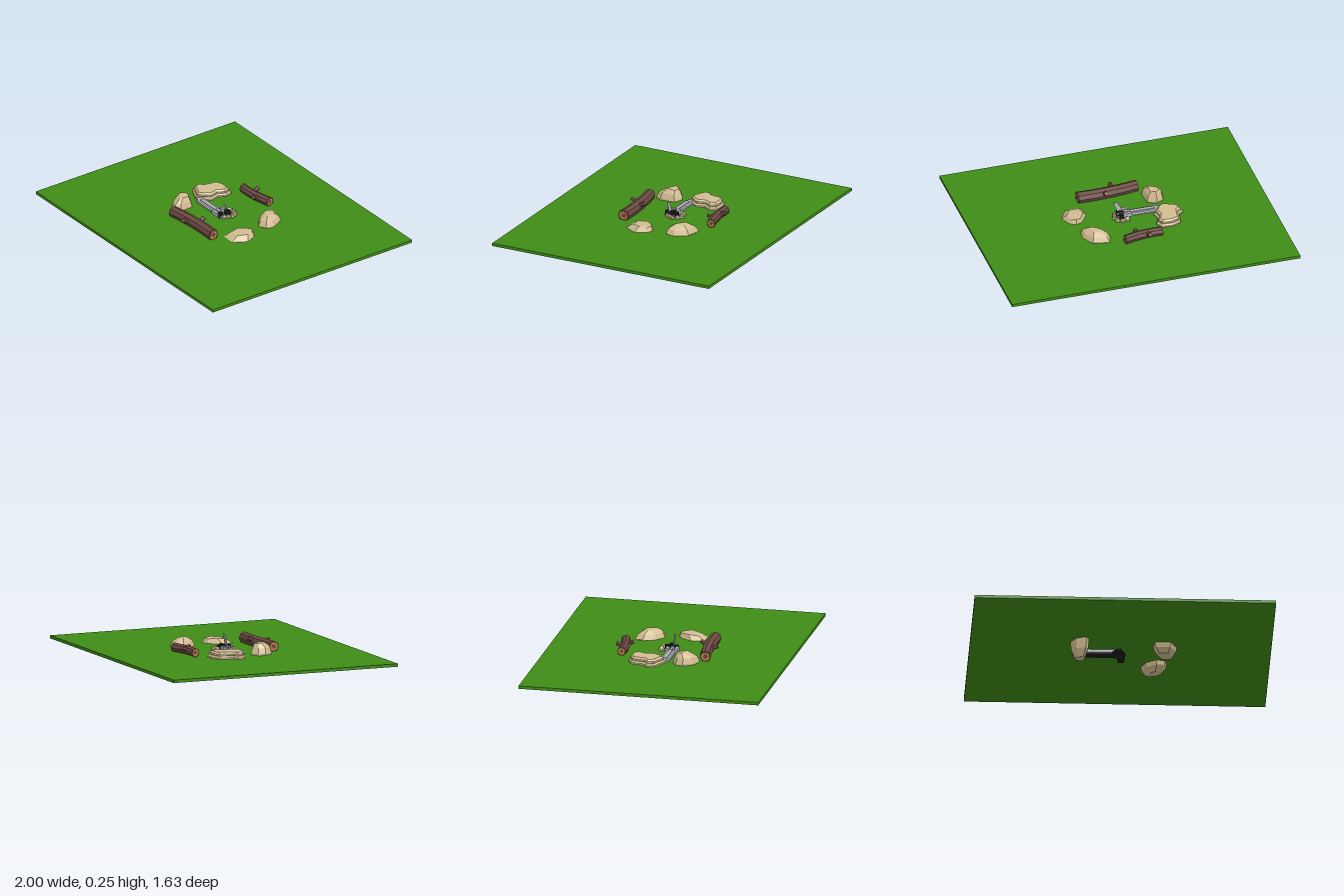
import * as THREE from 'three';
import { ConvexGeometry } from 'three/addons/geometries/ConvexGeometry.js';

const mat = (color) => new THREE.MeshStandardMaterial({ color, flatShading: true, side: THREE.DoubleSide });
const GRASS = mat(0x3f8c16), STONE = mat(0xd2bd92), BARK = mat(0x6b4a42), WOOD = mat(0xc08048);
const STEEL = mat(0xb4b6ba), DARK = mat(0x1c1c1e);

function add(parent, name, geometry, material, x = 0, y = 0, z = 0) {
  const mesh = new THREE.Mesh(geometry, material);
  mesh.name = name;
  mesh.position.set(x, y, z);
  parent.add(mesh);
  return mesh;
}

// Faceted boulder: a plan outline stacked at [height, scale, shiftX, shiftZ] levels
function boulder(outline, levels) {
  const cx = outline.reduce((s, p) => s + p[0], 0) / outline.length;
  const cz = outline.reduce((s, p) => s + p[1], 0) / outline.length;
  const points = [];
  for (const [y, s, dx = 0, dz = 0] of levels)
    outline.forEach(([x, z], i) => points.push(new THREE.Vector3(
      cx + (x - cx) * s + dx, y + 0.008 * Math.sin(i * 2.4) * (s < 0.9 ? 0.6 : 1), cz + (z - cz) * s + dz)));
  return new ConvexGeometry(points);
}

// Eight-sided log along x, slightly bowed, with pale cut ends and stubby branches
function log(name, length, radius, bow, branches) {
  const group = new THREE.Group();
  group.name = name;
  const bend = (geometry) => {
    geometry.rotateZ(Math.PI / 2);
    const p = geometry.attributes.position;
    for (let i = 0; i < p.count; i++) {
      const t = p.getX(i) / (length / 2);
      p.setZ(i, p.getZ(i) + bow * (t * t - 0.4));
    }
    return geometry;
  };
  add(group, 'bark', bend(new THREE.CylinderGeometry(radius, radius * 1.05, length, 8, 5)), BARK);
  add(group, 'cutEnds', bend(new THREE.CylinderGeometry(radius * 0.75, radius * 0.75, length + 0.004, 8, 5)), WOOD);
  add(group, 'heartwood', bend(new THREE.CylinderGeometry(radius * 0.4, radius * 0.4, length + 0.007, 8, 5)), BARK);
  for (const [x, y, z, tilt] of branches) {
    const branch = new THREE.Group();
    branch.name = 'branch';
    branch.position.set(x, y, z);
    branch.rotation.x = tilt;
    add(branch, 'branchBark', new THREE.CylinderGeometry(0.014, 0.018, 0.05, 6), BARK);
    add(branch, 'branchEnd', new THREE.CylinderGeometry(0.01, 0.01, 0.053, 6), WOOD);
    group.add(branch);
  }
  return group;
}

// Plan outline as a horizontal slab
function slab(outline, bottom, height, bevel = 0) {
  const shape = new THREE.Shape(outline.map(([x, z]) => new THREE.Vector2(x, -z)));
  const geometry = new THREE.ExtrudeGeometry(shape, {
    depth: height - 2 * bevel, bevelEnabled: bevel > 0, bevelSize: bevel, bevelThickness: bevel,
    bevelOffset: -bevel, bevelSegments: 1 });
  return geometry.rotateX(-Math.PI / 2).translate(0, bottom + bevel, 0);
}

export function createModel() {
  const model = new THREE.Group();
  model.name = 'campsite';
  add(model, 'ground', new THREE.BoxGeometry(2, 0.02, 1.63), GRASS, 0, 0.14, 0);

  // Boulders sunk through the ground
  add(model, 'backBoulder', boulder(
    [[0.16, -0.29], [0.27, -0.27], [0.32, -0.18], [0.31, -0.12], [0.25, -0.1], [0.18, -0.15], [0.14, -0.23]],
    [[0.065, 0.5], [0.1, 0.88], [0.15, 1], [0.185, 0.8], [0.207, 0.4]]), STONE);
  add(model, 'sideBoulder', boulder(
    [[0.26, 0], [0.31, -0.02], [0.36, 0.01], [0.38, 0.08], [0.33, 0.18], [0.22, 0.18], [0.21, 0.08]],
    [[0.07, 0.55], [0.1, 0.85], [0.145, 1], [0.18, 0.65, 0, -0.02]]), STONE);
  add(model, 'tallBoulder', boulder(
    [[-0.33, 0.1], [-0.28, 0.07], [-0.22, 0.1], [-0.21, 0.2], [-0.23, 0.24], [-0.3, 0.21], [-0.34, 0.15]],
    [[0.007, 0.5], [0.06, 0.85], [0.16, 1], [0.195, 0.85], [0.226, 0.5, 0, -0.015]]), STONE);

  // Low flat rock with a ragged rim and a second ledge
  const flat = [[-0.38, -0.1], [-0.36, -0.2], [-0.3, -0.225], [-0.22, -0.22], [-0.2, -0.17], [-0.23, -0.12],
    [-0.215, -0.06], [-0.25, -0.01], [-0.29, 0.02], [-0.36, -0.01], [-0.4, -0.03], [-0.415, -0.08]];
  add(model, 'flatRock', slab(flat, 0.135, 0.035, 0.01), STONE);
  add(model, 'flatRockTop', slab(flat.map(([x, z]) => [-0.3 + (x + 0.3) * 0.85, -0.1 + (z + 0.1) * 0.9]),
    0.16, 0.035, 0.012), STONE);

  // Seat logs
  const front = log('frontLog', 0.42, 0.038, 0.012, [[-0.04, 0.015, 0.04, 1.25], [0.03, 0.02, -0.04, -1.1]]);
  front.position.set(0.01, 0.182, 0.252);
  front.rotation.y = 0.06;
  const back = log('backLog', 0.265, 0.03, -0.012, [[-0.03, 0.015, -0.03, -1.2], [0.035, 0.01, 0.03, 1.3]]);
  back.position.set(-0.065, 0.178, -0.305);
  back.rotation.y = 0.12;
  model.add(front, back);

  // Sword lying in the grass, running along x
  const sword = new THREE.Group();
  sword.name = 'sword';
  model.add(sword);
  const blade = [[-0.31, 0.005], [-0.27, -0.025], [0.02, -0.025], [0.02, 0.04], [-0.25, 0.04]];
  add(sword, 'blade', slab(blade, 0.105, 0.06, 0.006), STEEL);
  add(sword, 'bladeRidge', new THREE.BoxGeometry(0.24, 0.012, 0.025), STEEL, -0.12, 0.165, 0.008);
  add(sword, 'bladeUnderside', slab([[-0.32, 0.01], [-0.27, -0.025], [-0.02, -0.03], [-0.01, -0.1], [0.03, -0.1],
    [0.035, 0.03], [0.0, 0.11], [-0.03, 0.11], [-0.06, 0.04], [-0.25, 0.04]], 0.1, 0.006), DARK);
  for (const z of [-0.02, 0.01, 0.04])
    add(sword, 'collar', new THREE.BoxGeometry(0.07, 0.03, 0.02), STEEL, -0.035, 0.162, z);
  add(sword, 'guard', new THREE.BoxGeometry(0.025, 0.035, 0.09), DARK, 0.0, 0.165, 0.0);
  add(sword, 'grip', new THREE.CylinderGeometry(0.016, 0.016, 0.05, 6).rotateZ(Math.PI / 2), DARK, 0.005, 0.175, -0.01);
  const fin = new THREE.Shape([[-0.03, 0.16], [0.01, 0.16], [0.042, 0.252], [0.018, 0.25], [-0.005, 0.215]]
    .map(([x, y]) => new THREE.Vector2(x, y)));
  add(sword, 'uprightQuillon', new THREE.ExtrudeGeometry(fin, { depth: 0.004, bevelEnabled: false }), STEEL, 0, 0, 0.012);

  // Pebbles round the hilt
  for (const [x, z, r] of [[0.035, -0.06, 0.018], [0.05, -0.03, 0.015], [0.03, 0.02, 0.016], [-0.03, -0.065, 0.022],
    [0.005, -0.075, 0.017], [0.04, -0.005, 0.016]]) {
    const pebble = add(model, 'pebble', new THREE.DodecahedronGeometry(r), STONE, x, 0.158, z);
    pebble.rotation.set(x * 40, z * 50, 0);
  }
  return model;
}
